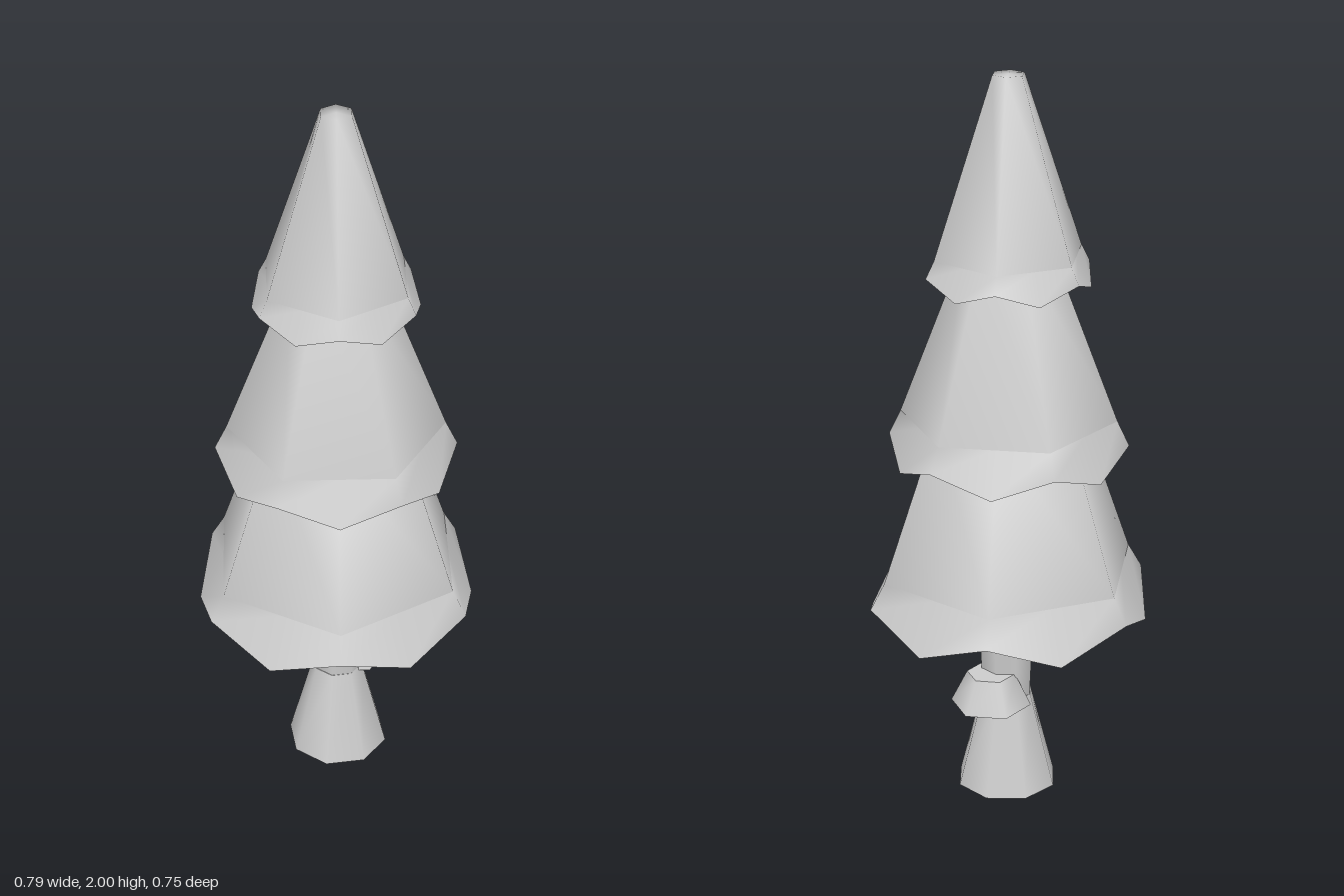
import * as THREE from 'three';

const grey = new THREE.MeshStandardMaterial({ color: 0xcccccc });
grey.name = 'grey';
const greyOpen = new THREE.MeshStandardMaterial({ color: 0xcccccc, side: THREE.DoubleSide });
greyOpen.name = 'grey foliage edge';

function add(group, name, geometry, material = grey) {
  const mesh = new THREE.Mesh(geometry, material);
  mesh.name = name;
  group.add(mesh);
  return mesh;
}

// Frustum standing between two heights
function frustum(rTop, rBottom, y0, y1, sides, x = 0, z = 0) {
  return new THREE.CylinderGeometry(rTop, rBottom, y1 - y0, sides).translate(x, (y0 + y1) / 2, z);
}

// Open skirt: hexagonal upper rim, twelve-pointed lower rim drooping between corners
function skirtGeometry({ r, y, cornerR, cornerY, midR, midY, turn }) {
  const pos = [], index = [];
  for (let i = 0; i < 12; i++) {
    const mid = i % 2 === 1;
    const a = turn + (i * Math.PI) / 6;
    const top = mid ? r * Math.cos(Math.PI / 6) : r;
    const low = mid ? midR : cornerR;
    pos.push(top * Math.sin(a), y, top * Math.cos(a));
    pos.push(low * Math.sin(a), mid ? midY : cornerY, low * Math.cos(a));
    const t = 2 * i, n = (2 * i + 2) % 24;
    index.push(t, t + 1, n, n, t + 1, n + 1);
  }
  const g = new THREE.BufferGeometry();
  g.setAttribute('position', new THREE.Float32BufferAttribute(pos, 3));
  g.setIndex(index);
  g.computeVertexNormals();
  return g;
}

export function createModel() {
  const tree = new THREE.Group();
  tree.name = 'tree';

  // Trunk: flared foot and a shaft widening upward
  const trunk = new THREE.Group();
  trunk.name = 'trunk';
  tree.add(trunk);
  add(trunk, 'trunkFoot', frustum(0.07, 0.14, 0, 0.27, 8, 0.005));
  add(trunk, 'trunkShaft', frustum(0.087, 0.069, 0.26, 0.66, 8, 0.006));

  // Bark collar on one side of the trunk
  add(trunk, 'barkCollar', frustum(0.066, 0.11, 0.26, 0.35, 6, 0.065, -0.035));

  // Three foliage tiers, each turned by half a side from its neighbour
  const half = Math.PI / 6;
  const tiers = [
    { name: 'lower', r: 0.355, y: 0.65, topR: 0.2, topY: 1.09, cornerR: 0.395, cornerY: 0.58, midR: 0.375, midY: 0.51, turn: half },
    { name: 'middle', r: 0.29, y: 1.08, topR: 0.115, topY: 1.54, cornerR: 0.322, cornerY: 1.013, midR: 0.306, midY: 0.96, turn: 0 },
    { name: 'upper', r: 0.205, y: 1.53, topR: 0.044, topY: 2, cornerR: 0.228, cornerY: 1.485, midR: 0.217, midY: 1.447, turn: half },
  ];
  for (const t of tiers) {
    const tier = new THREE.Group();
    tier.name = t.name + 'Tier';
    tree.add(tier);

    // Smooth-shaded six-sided body, closed over the top
    const profile = [[t.r, t.y], [t.topR, t.topY], [0, t.topY]].map(p => new THREE.Vector2(...p));
    add(tier, t.name + 'Foliage', new THREE.LatheGeometry(profile, 6).rotateY(t.turn));

    // Flat underside
    const under = new THREE.CircleGeometry(t.r, 6).rotateX(Math.PI / 2).rotateY(t.turn + Math.PI / 2);
    add(tier, t.name + 'Underside', under.translate(0, t.y, 0));

    add(tier, t.name + 'Skirt', skirtGeometry(t), greyOpen);
  }
  return tree;
}
